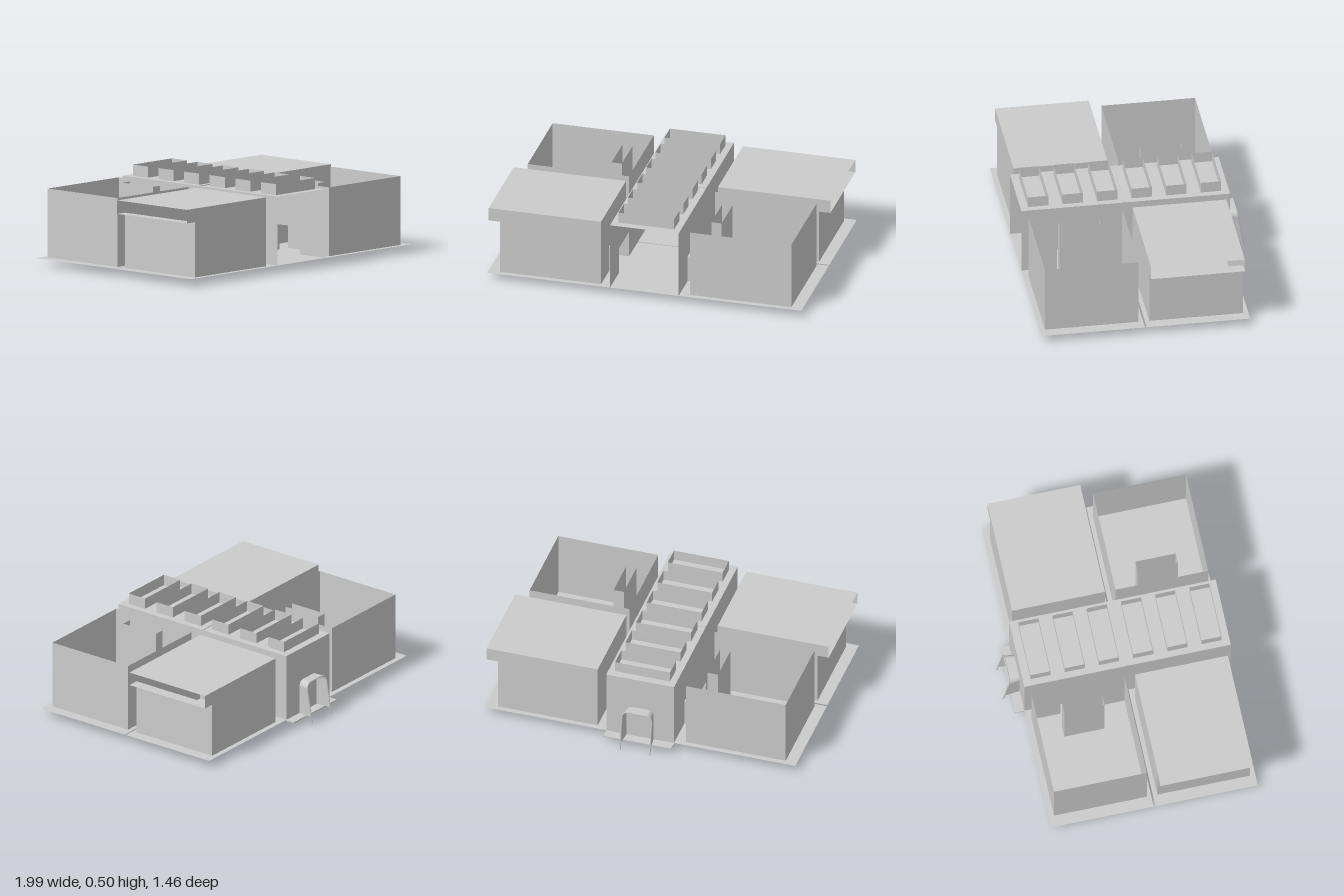
import * as THREE from 'three';

const mat = new THREE.MeshStandardMaterial({ color: 0xcccccc, side: THREE.DoubleSide, flatShading: true });
const smooth = new THREE.MeshStandardMaterial({ color: 0xcccccc, side: THREE.DoubleSide });

// Main levels and plan lines, before the building is turned
const FLOOR = 0.045, TOP = 0.437, EAVE = 0.36, DOOR = 0.2;
const SPINE = 0.2, INNER = 0.26, OUTER = 0.85, EDGE = 0.916;
const NEAR = 0.03, FAR = 0.565, END = 0.595;
const D0 = 0.185, D1 = 0.4;

function add(parent, name, geometry, material = mat) {
  const mesh = new THREE.Mesh(geometry, material);
  mesh.name = name;
  parent.add(mesh);
  return mesh;
}

const outline = (pts) => new THREE.ShapeGeometry(new THREE.Shape(pts.map(([a, b]) => new THREE.Vector2(a, b))));
// Thin sheets: facing z (points x,y), facing x (points z,y) and level (points x,z)
const sheetZ = (g, name, z, pts) => add(g, name, outline(pts).translate(0, 0, z));
const sheetX = (g, name, x, pts) => add(g, name, outline(pts).rotateY(-Math.PI / 2).translate(x, 0, 0));
const level = (g, name, y, x0, x1, z0, z1) =>
  add(g, name, new THREE.PlaneGeometry(x1 - x0, z1 - z0).rotateX(-Math.PI / 2).translate((x0 + x1) / 2, y, (z0 + z1) / 2));
const rect = (a0, a1, b0, b1) => [[a0, b0], [a1, b0], [a1, b1], [a0, b1]];

// Wall outline from a to b with door notches cut up from the floor
function doorWall(a, b, doors) {
  const pts = [[a, FLOOR]];
  for (const [p, q] of doors) pts.push([p, FLOOR], [p, DOOR], [q, DOOR], [q, FLOOR]);
  pts.push([b, FLOOR], [b, TOP], [a, TOP]);
  return pts;
}

// Four upright sides without lid or bottom
function openBox(g, name, x0, x1, z0, z1, y0, y1) {
  const box = new THREE.Group();
  box.name = name;
  for (const z of [z0, z1]) sheetZ(box, name + 'Long', z, rect(x0, x1, y0, y1));
  for (const x of [x0, x1]) sheetX(box, name + 'End', x, rect(z0, z1, y0, y1));
  g.add(box);
}

// Low passage joining the hall to a room
function passage(g, z0, z1) {
  for (const z of [z0, z1]) sheetZ(g, 'passageSide', z, rect(SPINE, INNER, FLOOR, DOOR));
  level(g, 'passageTop', DOOR, SPINE, INNER, z0, z1);
}

// One side of the building: an open room in front, a roofed room behind
function wing() {
  const g = new THREE.Group();
  g.name = 'wing';

  // Hall side wall with two doors
  sheetX(g, 'hallWall', SPINE, doorWall(-END, END, [[-D1, -D0], [D0, D1]]));

  // Room without a roof
  for (const z of [NEAR, FAR]) sheetZ(g, 'openRoomWall', z, rect(INNER, OUTER, FLOOR, TOP));
  sheetX(g, 'openRoomOuterWall', OUTER, rect(NEAR, FAR, FLOOR, TOP));
  sheetX(g, 'openRoomInnerWall', INNER, doorWall(NEAR, FAR, [[D0, D1]]));
  openBox(g, 'shaft', 0.34, 0.4, 0.175, 0.408, FLOOR, TOP);
  passage(g, D0, D1);

  // Roofed room, its hollow roof running out past the outer wall
  for (const z of [-NEAR, -FAR])
    sheetZ(g, 'roofedRoomWall', z, [[INNER, FLOOR], [OUTER, FLOOR], [OUTER, EAVE], [EDGE, EAVE], [EDGE, TOP], [INNER, TOP]]);
  sheetX(g, 'roofedRoomOuterWall', OUTER, rect(-FAR, -NEAR, FLOOR, EAVE));
  sheetX(g, 'roofedRoomInnerWall', INNER, doorWall(-FAR, -NEAR, [[-D1, -D0]]));
  level(g, 'roof', TOP, INNER, EDGE, -FAR, -NEAR);
  level(g, 'soffit', EAVE, OUTER, EDGE, -FAR, -NEAR);
  passage(g, -D1, -D0);
  return g;
}

// Round-topped porch frame that leans back to the wall
function porch() {
  const g = new THREE.Group();
  g.name = 'porch';
  const w = 0.088, h = 0.243, r = 0.035;
  const path = [[-w, 0.004]];
  for (let i = 0; i <= 6; i++) {
    const a = Math.PI - (i / 6) * Math.PI / 2;
    path.push([-w + r + r * Math.cos(a), h - r + r * Math.sin(a)]);
  }
  const half = path.slice();
  for (const [x, y] of half.reverse()) path.push([-x, y]);
  const front = (y) => -0.692 + 0.16 * y;

  // Rim
  const rim = new THREE.CurvePath();
  const pts = path.map(([x, y]) => new THREE.Vector3(x, y, front(y)));
  for (let i = 1; i < pts.length; i++) rim.add(new THREE.LineCurve3(pts[i - 1], pts[i]));
  add(g, 'porchRim', new THREE.TubeGeometry(rim, 90, 0.004, 6), smooth);

  // Hood between the rim and the wall
  const pos = [], idx = [];
  path.forEach(([x, y], i) => {
    const py = Math.max(y, FLOOR);
    pos.push(x, py, front(py), x * 0.9, py, -END);
    if (i) idx.push(2 * i - 2, 2 * i - 1, 2 * i, 2 * i - 1, 2 * i + 1, 2 * i);
  });
  const hood = new THREE.BufferGeometry();
  hood.setAttribute('position', new THREE.Float32BufferAttribute(pos, 3));
  hood.setIndex(idx);
  hood.computeVertexNormals();
  add(g, 'porchHood', hood, smooth);

  // Step
  add(g, 'porchStep', new THREE.BoxGeometry(2 * SPINE, 0.006, 0.055).translate(0, 0.04, -0.62));
  return g;
}

export function createModel() {
  const model = new THREE.Group();
  model.name = 'building';
  const house = new THREE.Group();
  house.name = 'house';
  house.rotation.y = 0.156;
  model.add(house);

  // Ground sheets with a narrow seam between them
  level(house, 'groundSheet', FLOOR, -EDGE, EDGE, 0.005, END);
  level(house, 'groundSheet', FLOOR, -EDGE, EDGE, -END, -0.005);

  // Both sides are the same, turned by half a circle
  for (const turn of [0, Math.PI]) {
    const side = wing();
    side.rotation.y = turn;
    house.add(side);
  }

  // Central hall: open front, closed back, flat roof with open skylight boxes
  sheetZ(house, 'hallBackWall', -END, rect(-SPINE, SPINE, FLOOR, TOP));
  level(house, 'hallRoof', TOP, -SPINE, SPINE, -END, END);
  for (let i = 0; i < 6; i++) {
    const z = (i - 2.5) * 0.197;
    openBox(house, 'skylight', -0.162, 0.162, z - 0.058, z + 0.058, TOP, 0.5);
  }

  // Seam strips over and under the hall
  for (const y of [0.04, TOP + 0.002])
    add(house, 'seamStrip', new THREE.BoxGeometry(2 * SPINE, 0.004, 0.012).translate(0, y, 0));

  house.add(porch());
  return model;
}
